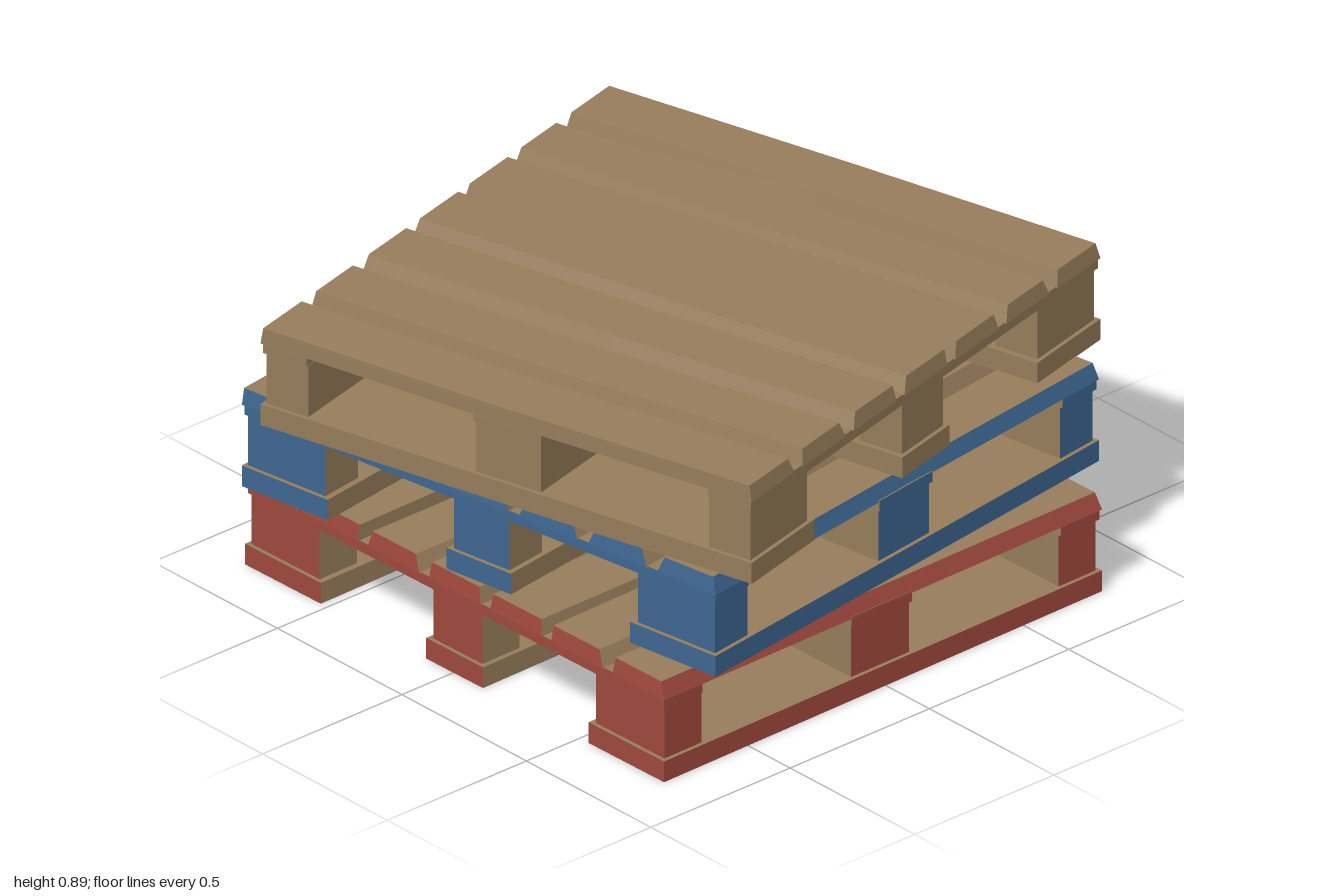
import * as THREE from 'three';

const W = 1.66, L = 1.59; // pallet size across and along the boards

const wood = new THREE.MeshStandardMaterial({ color: 0x967c5a, name: 'bareWood' });
const red = new THREE.MeshStandardMaterial({ color: 0x9e483c, name: 'redPaint' });
const blue = new THREE.MeshStandardMaterial({ color: 0x3d6690, name: 'bluePaint' });

function seeded(seed) {
  return () => (seed = (seed * 16807) % 2147483647) / 2147483647;
}

// Timber piece; sx / sz (-1, 0, 1, or 2 for both) tell which outer sides carry paint
function timber(name, size, pos, paint, sx, sz, warp) {
  let geo = new THREE.BoxGeometry(...size, 1, 1, 2);
  if (warp) {
    warp(geo.attributes.position);
    geo = geo.toNonIndexed();
    geo.computeVertexNormals();
  }
  const pick = (s, side) => (s === side || s === 2 ? paint : wood);
  const mesh = new THREE.Mesh(geo, [pick(sx, 1), pick(sx, -1), wood, wood, pick(sz, 1), pick(sz, -1)]);
  mesh.name = name;
  mesh.position.set(...pos);
  return mesh;
}

// Worn board: bevelled upper edges, slight bow at mid length
function wornBoard(rand) {
  const bevel = { '-1': rand() * 0.022, 1: rand() * 0.022 };
  const bow = (rand() - 0.5) * 0.02, sag = rand() * 0.006;
  return (p) => {
    for (let i = 0; i < p.count; i++) {
      let x = p.getX(i), y = p.getY(i), z = p.getZ(i);
      if (y > 0) {
        x -= Math.sign(x) * bevel[Math.sign(x)];
        z -= Math.sign(z) * 0.008;
      }
      if (Math.abs(z) < 0.01) {
        x += bow;
        y -= sag;
      }
      p.setXYZ(i, x, y, z);
    }
  };
}

function pallet(name, paint, seed) {
  const g = new THREE.Group();
  g.name = name;
  const rand = seeded(seed);
  const inset = 0.012;

  for (const i of [-1, 0, 1]) {
    // Bottom skids
    const sw = i ? 0.3 : 0.225;
    g.add(timber('skid', [sw, 0.063, L], [i * (W - sw) / 2, 0.0315, 0], paint, i, 2));

    // Stringers under the deck
    const sd = i ? 0.14 : 0.22;
    g.add(timber('stringer', [W - 0.01, 0.032, sd], [0, 0.234, i * (L - 0.01 - sd) / 2], paint, 2, i));

    // Spacer blocks
    for (const j of [-1, 0, 1]) {
      const bw = i ? 0.27 : 0.195, bd = j ? 0.135 : 0.21;
      g.add(timber('block', [bw, 0.156, bd],
        [i * (W / 2 - inset - bw / 2), 0.1405, j * (L / 2 - inset - bd / 2)], paint, i, j));
    }
  }

  // Deck boards
  const n = 7, bw = 0.205, step = (W - bw) / (n - 1);
  for (let k = 0; k < n; k++) {
    const side = k === 0 ? -1 : k === n - 1 ? 1 : 0;
    g.add(timber('deckBoard', [bw, 0.048, L], [-W / 2 + bw / 2 + k * step, 0.272, 0],
      paint, side, 2, wornBoard(rand)));
  }
  return g;
}

export function createModel() {
  const model = new THREE.Group();
  model.name = 'palletStack';
  const stack = [
    ['bottomPallet', red, 0.7, -0.005, 0, 0.02],
    ['middlePallet', blue, 8, -0.04, 0.296, 0],
    ['topPallet', wood, 104, 0, 0.59, 0],
  ];
  stack.forEach(([name, paint, deg, x, y, z], i) => {
    const p = pallet(name, paint, 4211 + i * 977);
    p.rotation.y = THREE.MathUtils.degToRad(deg);
    p.position.set(x, y, z);
    model.add(p);
  });
  return model;
}
